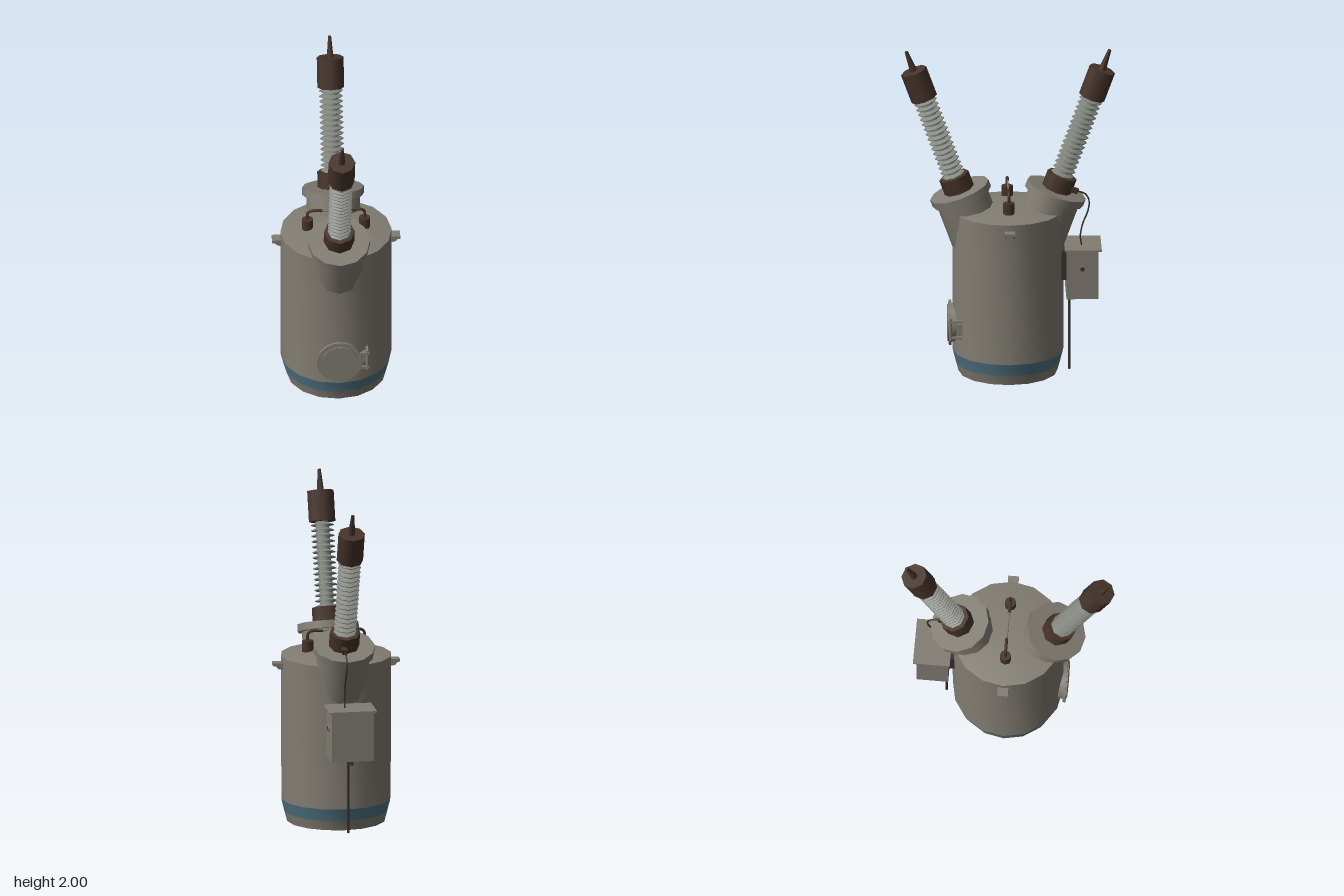
import * as THREE from 'three';
import { toCreasedNormals } from 'three/addons/utils/BufferGeometryUtils.js';

export function createModel() {
  const model = new THREE.Group();
  model.name = 'oilCircuitBreaker';

  const paint = (name, color, side = THREE.FrontSide) => {
    const m = new THREE.MeshStandardMaterial({ color, side });
    m.name = name;
    return m;
  };
  const grey = paint('tankGrey', 0x827d73, THREE.DoubleSide);
  const blue = paint('bandBlue', 0x4f7483, THREE.DoubleSide);
  const brown = paint('bushingBrown', 0x46342b);
  const porcelain = paint('porcelainGrey', 0x868a82);
  const dark = paint('cableDark', 0x35302c);

  const add = (parent, name, geometry, material, x = 0, y = 0, z = 0) => {
    const mesh = new THREE.Mesh(geometry, material);
    mesh.name = name;
    mesh.position.set(x, y, z);
    parent.add(mesh);
    return mesh;
  };
  const lathe = (points, sides, crease) => toCreasedNormals(
    new THREE.LatheGeometry(points.map(([r, y]) => new THREE.Vector2(r, y)), sides), crease);
  // Upright cylinder between two heights
  const post = (parent, name, material, rBottom, rTop, y0, y1, sides, x = 0, z = 0) =>
    add(parent, name, new THREE.CylinderGeometry(rTop, rBottom, y1 - y0, sides), material, x, (y0 + y1) / 2, z);
  const box = (parent, name, material, w, h, d, x, y, z) =>
    add(parent, name, new THREE.BoxGeometry(w, h, d), material, x, y, z);
  const tube = (parent, name, material, points, radius, steps = 24) =>
    add(parent, name, new THREE.TubeGeometry(
      new THREE.CatmullRomCurve3(points.map(p => new THREE.Vector3(...p)), false, 'centripetal'),
      steps, radius, 6), material);

  // Tank shell, open underneath, with a painted band
  add(model, 'tankFoot', lathe([[0.295, 0], [0.311, 0.06]], 16, 0.6), grey);
  add(model, 'paintedBand', lathe([[0.311, 0.06], [0.33, 0.135]], 16, 0.6), blue);
  add(model, 'tankWall', lathe([[0.33, 0.135], [0.332, 1.01]], 16, 0.6), grey);
  add(model, 'tankLid', lathe([[0.332, 1.01], [0, 1.065]], 16, 0.6), grey);

  // Porcelain column: thin sheds along a narrow core
  const sheds = 16, start = 0.09, pitch = 0.52 / sheds;
  const column = [[0.042, start]];
  for (let i = 0; i < sheds; i++) {
    const y = start + (i + 0.35) * pitch;
    column.push([0.041, y], [0.07, y - 0.003], [0.07, y + 0.002], [0.041, y + 0.013]);
  }
  column.push([0.041, 0.62]);
  const columnGeometry = lathe(column, 8, 0.85);

  // Tilted turrets with bushings, front and back
  for (const [name, turn] of [['front', 0], ['back', Math.PI]]) {
    const side = new THREE.Group();
    side.name = name + 'Bushing';
    side.rotation.y = turn;
    const axis = new THREE.Group();
    axis.name = name + 'BushingAxis';
    axis.position.set(0, 1.13, 0.29);
    axis.rotation.x = THREE.MathUtils.degToRad(20);
    post(axis, 'turretNeck', grey, 0.16, 0.16, -0.42, -0.03, 12);
    post(axis, 'turretFlange', grey, 0.185, 0.185, -0.045, 0, 12);
    post(axis, 'bushingBase', brown, 0.092, 0.092, -0.01, 0.095, 8);
    add(axis, 'insulatorColumn', columnGeometry, porcelain);
    post(axis, 'bushingCap', brown, 0.08, 0.08, 0.61, 0.795, 8);
    post(axis, 'terminal', brown, 0.023, 0.01, 0.79, 0.925, 6);
    side.add(axis);
    model.add(side);
  }

  // Lid posts joined by a bent rod, and lifting lugs
  for (const s of [-1, 1]) {
    post(model, 'lidPost', brown, 0.034, 0.034, 1.025, 1.1, 8, s * 0.17);
    tube(model, 'rodEnd', brown,
      [[s * 0.17, 1.09, 0], [s * 0.17, 1.14, 0], [s * 0.155, 1.155, 0], [s * 0.08, 1.155, 0]], 0.009, 10);
    box(model, 'liftingLugPlate', grey, 0.07, 0.018, 0.064, s * 0.347, 0.964, 0);
    const web = new THREE.Shape([[0.31, 0.958], [0.372, 0.958], [0.352, 0.936], [0.31, 0.93]]
      .map(([x, y]) => new THREE.Vector2(s * x, y)));
    for (const z of [-0.03, 0.018]) {
      add(model, 'liftingLugWeb', new THREE.ExtrudeGeometry(web, { depth: 0.012, bevelEnabled: false }), grey, 0, 0, z);
    }
  }
  tube(model, 'linkRod', grey, [[-0.09, 1.155, 0], [0, 1.155, 0], [0.09, 1.155, 0]], 0.005, 4);

  // Round access cover with its hinge
  const cover = new THREE.Group();
  cover.name = 'accessCover';
  cover.position.set(0, 0.3, 0);
  const disc = (name, r, z0, z1) => {
    post(cover, name, grey, r, r, 0, z1 - z0, 24).rotation.x = Math.PI / 2;
    cover.children.at(-1).position.set(0, 0, (z0 + z1) / 2);
  };
  disc('accessNeck', 0.115, 0.27, 0.34);
  disc('accessPlate', 0.136, 0.338, 0.353);
  disc('accessPlateFace', 0.11, 0.35, 0.361);
  for (const y of [-0.045, 0.055]) {
    box(cover, 'hingeArm', grey, 0.07, 0.014, 0.014, 0.143, y, 0.347);
    box(cover, 'hingeBracket', grey, 0.014, 0.014, 0.075, 0.166, y, 0.316);
  }
  post(cover, 'hingePin', grey, 0.008, 0.008, -0.06, 0.075, 8, 0.166, 0.347);
  box(cover, 'hingeBlock', grey, 0.03, 0.07, 0.03, 0.155, 0.005, 0.292);
  model.add(cover);

  // Control cabinet on the back
  const cabinetX = -0.0125;
  box(model, 'cabinet', grey, 0.255, 0.3, 0.19, cabinetX, 0.625, -0.44);
  box(model, 'cabinetRoof', grey, 0.285, 0.011, 0.22, cabinetX, 0.78, -0.445);
  box(model, 'cabinetMount', dark, 0.16, 0.18, 0.05, cabinetX, 0.67, -0.322);
  const knob = post(model, 'cabinetGland', grey, 0.02, 0.02, 0, 0.01, 12);
  knob.rotation.z = Math.PI / 2;
  knob.position.set(0.118, 0.665, -0.44);
  const knobCentre = post(model, 'cabinetGlandCentre', dark, 0.013, 0.013, 0, 0.003, 12);
  knobCentre.rotation.z = Math.PI / 2;
  knobCentre.position.set(0.1235, 0.665, -0.44);

  // Conduit from the ground to the underside of the cabinet
  post(model, 'conduitRiser', dark, 0.008, 0.008, 0, 0.46, 8, cabinetX, -0.365);
  box(model, 'conduitRun', dark, 0.016, 0.016, 0.15, cabinetX, 0.455, -0.432);
  post(model, 'conduitInlet', dark, 0.008, 0.008, 0.448, 0.48, 8, cabinetX, -0.5);

  // Cable from the back bushing to the cabinet
  const plug = box(model, 'cableConnector', brown, 0.032, 0.03, 0.045, 0.015, 1.125, -0.395);
  plug.rotation.x = -0.35;
  tube(model, 'cable', dark, [[0.015, 1.122, -0.41], [0.015, 1.1, -0.462], [0.015, 1.06, -0.482],
    [0.017, 1.0, -0.476], [0.02, 0.92, -0.445], [0.02, 0.84, -0.43], [0.02, 0.78, -0.438]], 0.005, 28);

  return model;
}
